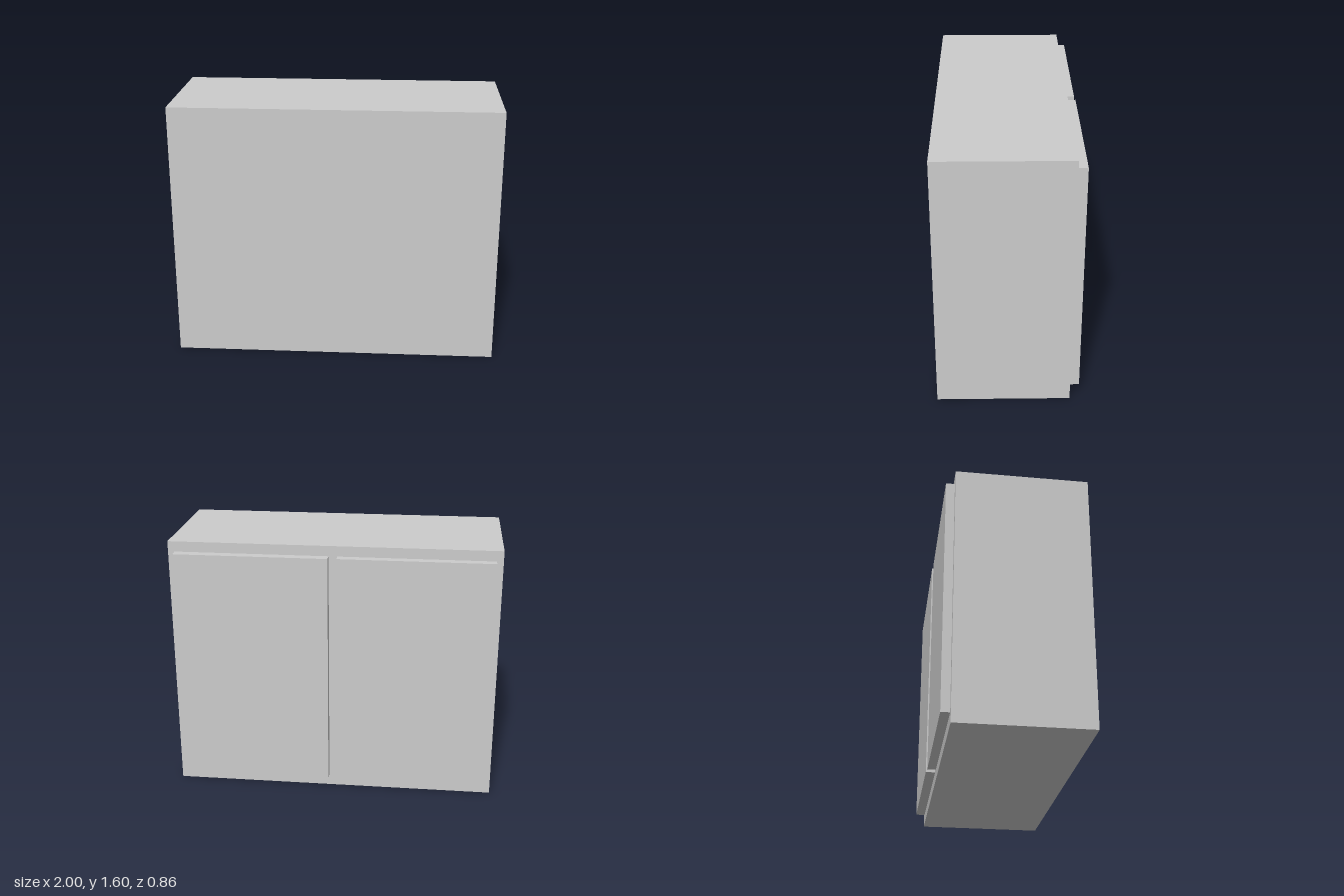
import * as THREE from 'three';

const material = new THREE.MeshStandardMaterial({ color: 0xcccccc, flatShading: true });

// Box given by its minimum and maximum corners
function box(name, [x0, y0, z0], [x1, y1, z1]) {
  const mesh = new THREE.Mesh(new THREE.BoxGeometry(x1 - x0, y1 - y0, z1 - z0), material);
  mesh.name = name;
  mesh.position.set((x0 + x1) / 2, (y0 + y1) / 2, (z0 + z1) / 2);
  return mesh;
}

export function createModel() {
  const cabinet = new THREE.Group();
  cabinet.name = 'cabinet';
  const backZ = -0.37;

  // Main carcass
  cabinet.add(box('cabinetBody', [-1, 0, backZ], [1, 1.6, 0.428]));

  // Pair of raised door panels, one slightly thicker
  cabinet.add(box('leftDoor', [0.027, 0.073, -0.428], [0.96, 1.537, backZ]));
  cabinet.add(box('rightDoor', [-0.96, 0.073, -0.423], [-0.025, 1.537, backZ]));

  return cabinet;
}
